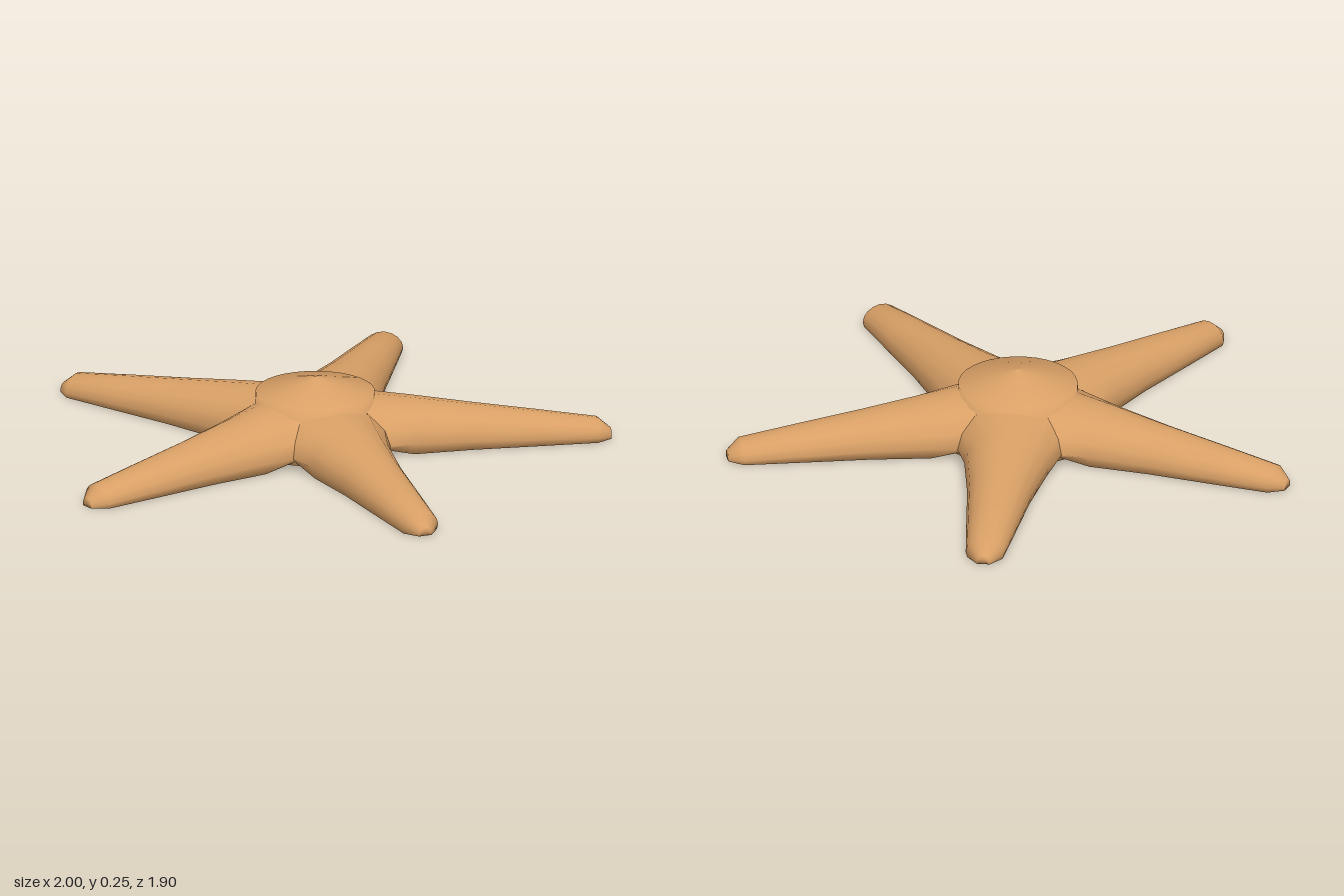
import * as THREE from 'three';

const CENTRE_Z = 0.092;    // hub sits slightly in front of the origin
const SIDES = 16;          // facets around each arm

// Tapering arm along +z: arched on top, flattened underneath.
// Each section is [distance, halfWidth, top, bottom].
function armGeometry() {
  const sections = [
    [0.12, 0.184, 0.19, 0.03],   // root, mitred against its neighbours
    [0.34, 0.15, 0.163, 0],
    [0.55, 0.115, 0.134, 0],
    [0.78, 0.091, 0.103, 0],
    [0.993, 0.068, 0.073, 0],
    [1.042, 0.025, 0.032, 0],
    [1.042, 0, 0.032, 0],        // closes the tip
  ];
  const mitre = Math.tan(Math.PI / 5);
  const positions = [], index = [];
  sections.forEach(([distance, halfWidth, top, bottom], i) => {
    for (let j = 0; j < SIDES; j++) {
      const a = (j / SIDES) * Math.PI * 2;
      const x = Math.cos(a) * halfWidth;
      const y = i === sections.length - 1 ? top / 2
        : Math.max(bottom, top * (0.25 + 0.75 * Math.sin(a)));
      const z = i === 0 ? Math.max(distance, Math.abs(x) / mitre) : distance;
      positions.push(x, y, z);
    }
  });
  for (let i = 0; i < sections.length - 1; i++) {
    for (let j = 0; j < SIDES; j++) {
      const next = (j + 1) % SIDES;
      const a = i * SIDES + j, b = i * SIDES + next, c = a + SIDES, d = b + SIDES;
      index.push(a, b, c, b, d, c);
    }
  }
  const geometry = new THREE.BufferGeometry();
  geometry.setAttribute('position', new THREE.Float32BufferAttribute(positions, 3));
  geometry.setIndex(index);
  geometry.computeVertexNormals();
  return geometry;
}

export function createModel() {
  const group = new THREE.Group();
  group.name = 'starfish';
  const skin = new THREE.MeshStandardMaterial({ color: 0xd9a066 });
  skin.name = 'sandy orange';

  // Central hub: low dome with a steep rim, over a wide rounded underside
  const profile = [[0, 0], [0.22, 0], [0.3, 0.02], [0.27, 0.07], [0.214, 0.13], [0.21, 0.195], [0, 0.25]]
    .map(([r, y]) => new THREE.Vector2(r, y));
  const hub = new THREE.Mesh(new THREE.LatheGeometry(profile, 32), skin);
  hub.name = 'centralBody';
  hub.position.z = CENTRE_Z;
  group.add(hub);

  // Five arms, the first pointing straight back
  const geometry = armGeometry();
  for (let k = 0; k < 5; k++) {
    const arm = new THREE.Mesh(geometry, skin);
    arm.name = `arm${k + 1}`;
    arm.position.z = CENTRE_Z;
    arm.rotation.y = Math.PI + (k * Math.PI * 2) / 5;
    group.add(arm);
  }
  return group;
}
